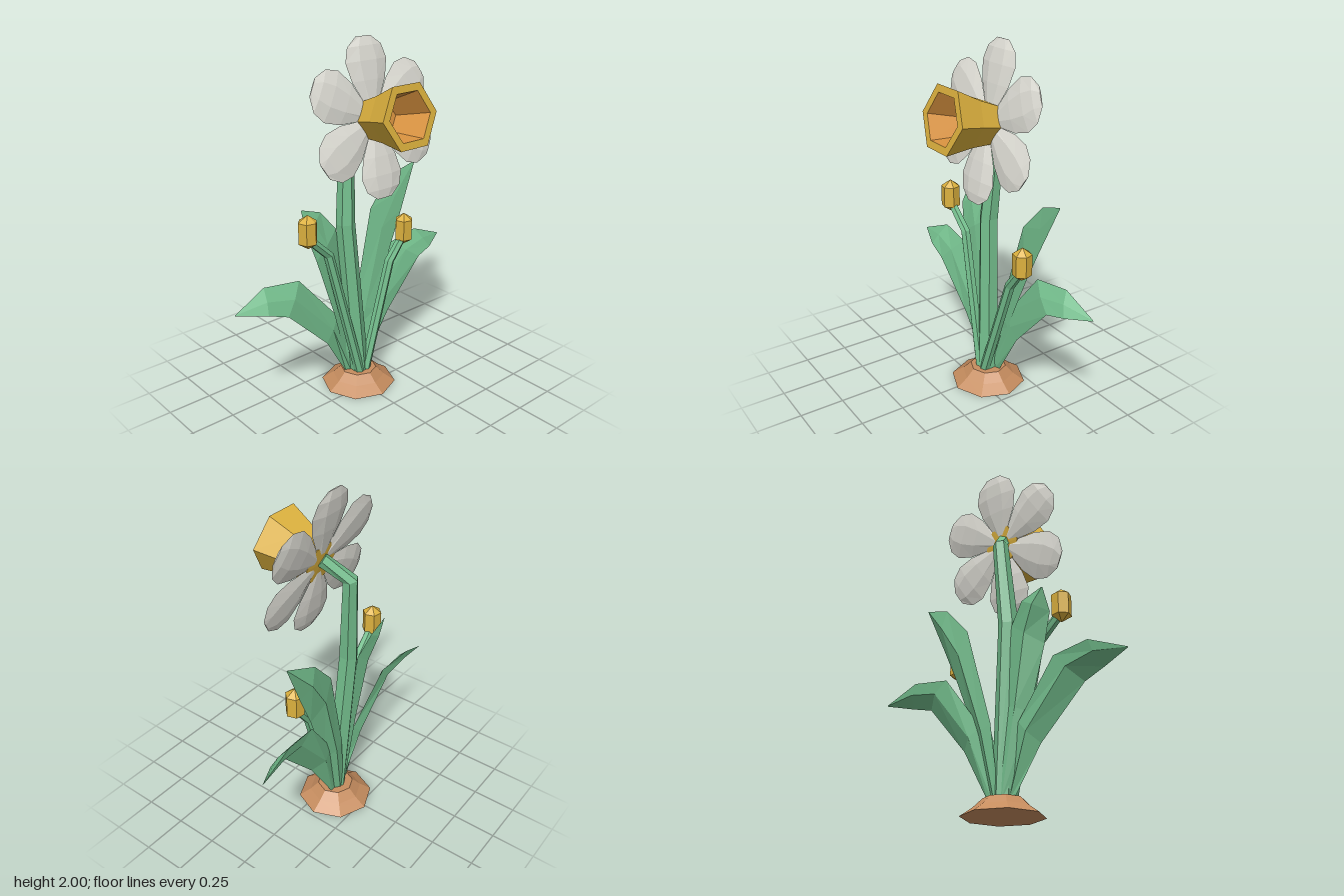
import * as THREE from 'three';

const V = (x, y, z) => new THREE.Vector3(x, y, z);
const flat = (name, color) => {
  const m = new THREE.MeshStandardMaterial({ color, flatShading: true });
  m.name = name;
  return m;
};

// Closed skin over a row of rings (each counterclockwise about the direction of travel)
function loft(rings) {
  const n = rings[0].length, pos = [], idx = [];
  rings.forEach(r => r.forEach(p => pos.push(p.x, p.y, p.z)));
  for (let i = 0; i < rings.length - 1; i++) {
    for (let j = 0; j < n; j++) {
      const a = i * n + j, b = i * n + (j + 1) % n;
      idx.push(a, b, b + n, a, b + n, a + n);
    }
  }
  const last = (rings.length - 1) * n;
  for (let j = 1; j < n - 1; j++) {
    idx.push(0, j + 1, j, last, last + j, last + j + 1);
  }
  const g = new THREE.BufferGeometry();
  g.setAttribute('position', new THREE.Float32BufferAttribute(pos, 3));
  g.setIndex(idx);
  g.computeVertexNormals();
  return g;
}

// Six-sided stalk with sharp bends
function stalk(points, radii) {
  return loft(points.map((p, i) => {
    const t = points[Math.min(i + 1, points.length - 1)].clone()
      .sub(points[Math.max(i - 1, 0)]).normalize();
    const u = V(1, 0, 0).addScaledVector(t, -t.x).normalize();
    const w = t.clone().cross(u);
    return Array.from({ length: 6 }, (_, k) => {
      const a = (k + 0.5) * Math.PI / 3;
      return p.clone().addScaledVector(u, radii[i] * Math.cos(a))
        .addScaledVector(w, radii[i] * Math.sin(a));
    });
  }));
}

// Leaf blade: rows of left edge x, y, z and right edge x, y, z, with a keel behind
function leaf(rows) {
  return loft(rows.map(([lx, ly, lz, rx, ry, rz]) => {
    const l = V(lx, ly, lz), r = V(rx, ry, rz);
    const mid = l.clone().add(r).multiplyScalar(0.5);
    const d = Math.min(0.035, l.distanceTo(r) * 0.2);
    return [l, mid.clone().add(V(0, 0, d * 0.3)), r, mid.clone().add(V(0, 0, -d))];
  }));
}

export function createModel() {
  const model = new THREE.Group();
  model.name = 'pottedFlower';
  const green = flat('leafGreen', 0x73bd8c);
  const white = flat('petalWhite', 0xe0dfd7);
  const yellow = flat('trumpetYellow', 0xdcb13e);
  const orange = flat('throatOrange', 0xdb9440);
  const soil = flat('soilBrown', 0xc58c5e);
  const add = (name, geo, mat, parent = model) => {
    const m = new THREE.Mesh(geo, mat);
    m.name = name;
    parent.add(m);
    return m;
  };
  const lathe = (pts, sides, start = 0) =>
    new THREE.LatheGeometry(pts.map(p => new THREE.Vector2(...p)), sides, start);

  // Soil mound
  add('soilMound', lathe([[0, 0], [0.215, 0], [0.15, 0.045], [0.103, 0.09], [0, 0.09]], 8), soil)
    .position.set(0.012, 0, -0.072);

  // Main stem, hooked at the top
  add('mainStem', stalk(
    [V(0.012, 0.06, -0.07), V(-0.045, 1.0, -0.11), V(-0.01, 1.49, -0.138), V(0.07, 1.6, -0.02)],
    [0.06, 0.054, 0.043, 0.038]), green);

  // Leaves
  const leaves = {
    lowLeftLeaf: [
      [0.03, 0.07, -0.08, 0.08, 0.07, -0.1],
      [0.125, 0.47, -0.12, 0.26, 0.37, -0.09],
      [0.34, 0.765, -0.16, 0.51, 0.65, -0.09],
      [0.553, 0.79, -0.18, 0.62, 0.675, -0.11],
      [0.758, 0.708, -0.185, 0.762, 0.703, -0.183]],
    lowRightLeaf: [
      [-0.065, 0.07, -0.09, -0.01, 0.07, -0.07],
      [-0.22, 0.33, -0.07, -0.11, 0.45, -0.11],
      [-0.48, 0.59, -0.062, -0.35, 0.735, -0.14],
      [-0.6, 0.635, -0.07, -0.565, 0.755, -0.16],
      [-0.766, 0.668, -0.13, -0.763, 0.673, -0.132]],
    tallLeftLeaf: [
      [0.0, 0.07, -0.12, 0.06, 0.07, -0.1],
      [0.045, 0.47, -0.14, 0.16, 0.4, -0.1],
      [0.19, 1.01, -0.17, 0.3, 0.76, -0.12],
      [0.335, 1.17, -0.18, 0.395, 0.97, -0.13],
      [0.508, 1.235, -0.15, 0.512, 1.231, -0.149]],
    tallRightLeaf: [
      [-0.04, 0.07, -0.09, 0.02, 0.07, -0.12],
      [-0.16, 0.5, -0.08, -0.04, 0.55, -0.12],
      [-0.265, 0.84, -0.09, -0.09, 0.97, -0.14],
      [-0.315, 1.0, -0.11, -0.175, 1.08, -0.165],
      [-0.307, 1.12, -0.16, -0.3, 1.122, -0.163]],
  };
  for (const name in leaves) add(name, leaf(leaves[name]), green);

  // Side stalks, each ending in a closed bud
  const buds = [
    ['right', [V(-0.01, 0.08, -0.035), V(-0.205, 0.87, -0.06), V(-0.34, 1.0, -0.055)], V(-0.348, 1.045, -0.052)],
    ['left', [V(0.03, 0.08, -0.035), V(0.235, 0.71, -0.055), V(0.335, 0.84, -0.052)], V(0.343, 0.885, -0.052)],
  ];
  for (const [side, path, at] of buds) {
    add(side + 'BudStalk', stalk(path, [0.03, 0.028, 0.025]), green);
    add(side + 'Bud', lathe([[0, -0.095], [0.053, -0.06], [0.053, 0.058], [0, 0.095]], 6, 0.3), yellow)
      .position.copy(at);
  }

  // Flower head, leaning back
  const flower = new THREE.Group();
  flower.name = 'flowerHead';
  flower.position.set(0.077, 1.585, -0.015);
  flower.rotation.x = -0.213;
  model.add(flower);

  // Six petals: distance from the centre, half width, half thickness
  const petalRows = [
    [0.04, 0.025, 0.006], [0.2, 0.113, 0.017], [0.3, 0.139, 0.019],
    [0.375, 0.115, 0.014], [0.424, 0.05, 0.003]];
  const petalGeo = loft(petalRows.map(([y, h, t]) => [
    V(-h, y, 0), V(-h * 0.4, y, t), V(h * 0.4, y, t),
    V(h, y, 0), V(h * 0.4, y, -t), V(-h * 0.4, y, -t)]));
  for (let i = 0; i < 6; i++) {
    add('petal' + (i + 1), petalGeo, white, flower).rotation.z = i * Math.PI / 3;
  }

  // Trumpet with rim, and its inner throat
  const trumpet = (pts) => lathe(pts, 6, Math.PI / 6).rotateX(Math.PI / 2);
  add('trumpet', trumpet([[0, -0.01], [0.113, -0.005], [0.138, 0.12], [0.185, 0.278], [0.14, 0.278]]), yellow, flower);
  add('trumpetThroat', trumpet([[0.14, 0.278], [0.09, 0.07], [0, 0.07]]), orange, flower);

  return model;
}
